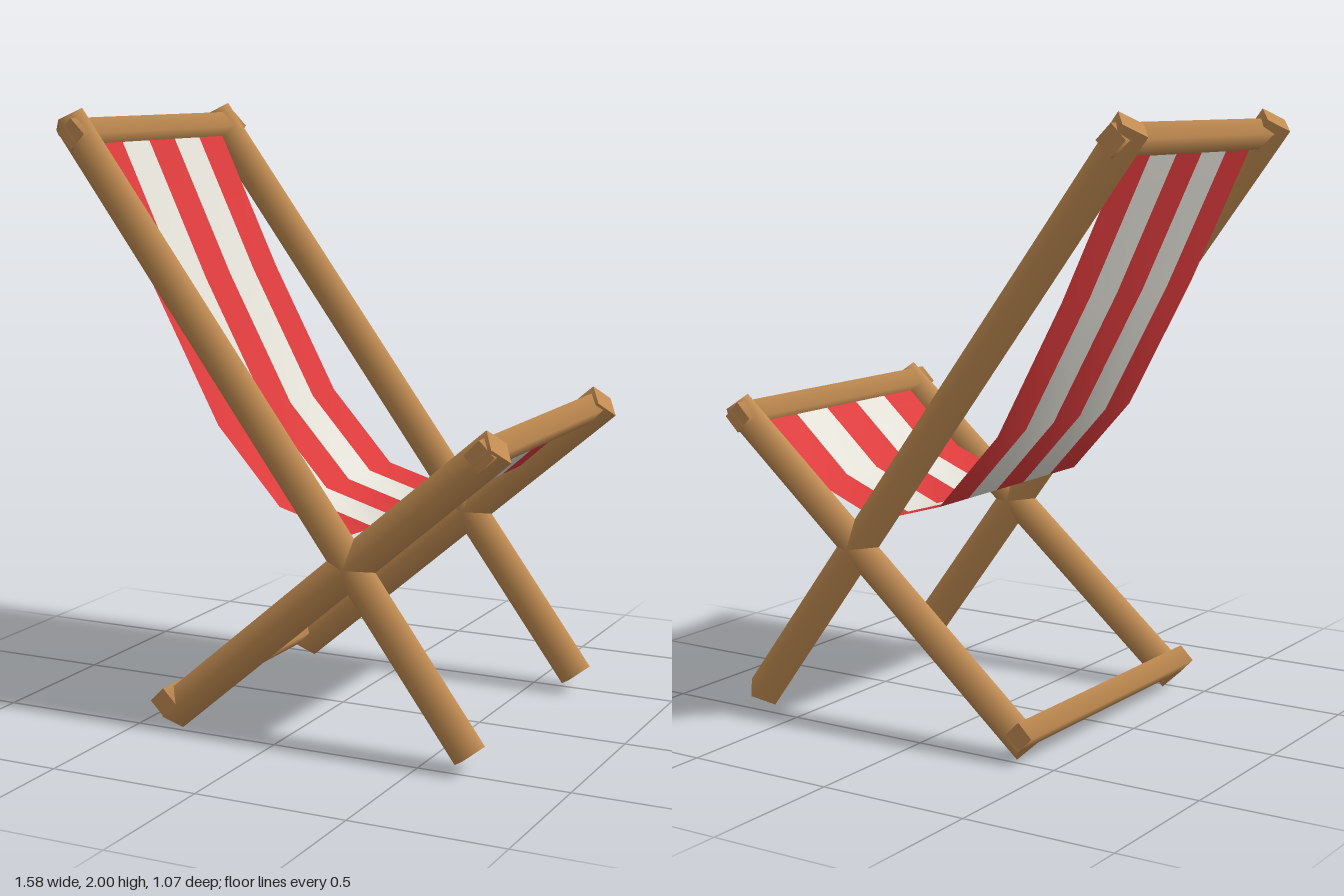
import * as THREE from 'three';

export function createModel() {
  const model = new THREE.Group();
  model.name = 'deckChair';

  const mat = (name, color, side = THREE.FrontSide) => {
    const m = new THREE.MeshStandardMaterial({ color, side });
    m.name = name;
    return m;
  };
  const wood = mat('wood', 0xc08b51);
  const red = mat('redCanvas', 0xdb3a3b, THREE.DoubleSide);
  const white = mat('whiteCanvas', 0xe2dfd6, THREE.DoubleSide);

  // Four-sided softly shaded beam between two points
  const up = new THREE.Vector3(0, 1, 0);
  function beam(name, a, b, radius) {
    const from = new THREE.Vector3(...a);
    const to = new THREE.Vector3(...b);
    const dir = to.clone().sub(from);
    const mesh = new THREE.Mesh(new THREE.CylinderGeometry(radius, radius, dir.length(), 4), wood);
    mesh.quaternion.setFromUnitVectors(up, dir.normalize());
    mesh.position.copy(from).add(to).multiplyScalar(0.5);
    mesh.name = name;
    model.add(mesh);
  }

  // Crossed side poles
  for (const [side, z] of [['left', 0.474], ['right', -0.474]]) {
    beam(side + 'BackPole', [0.663, 0.055, z], [-0.742, 1.963, z], 0.062);
    beam(side + 'SeatPole', [-0.39, 0.047, z], [0.746, 1.02, z], 0.062);
  }

  // Crossbars joining the two sides
  const bars = [
    ['topBar', -0.70, 1.918, 0.05],
    ['seatBar', 0.705, 0.995, 0.05],
    ['footBar', -0.39, 0.094, 0.047],
  ];
  for (const [name, x, y, r] of bars) beam(name, [x, y, -0.53], [x, y, 0.53], r);

  // Sagging canvas in five stripes, following one profile from top bar to seat bar
  const profile = [
    [-0.70, 1.92], [-0.47, 1.43], [-0.24, 1.0], [-0.02, 0.755],
    [0.22, 0.685], [0.47, 0.785], [0.705, 0.995],
  ];
  const edges = [-0.415, -0.25, -0.083, 0.083, 0.25, 0.415];
  const canvas = new THREE.Group();
  canvas.name = 'canvas';
  for (let s = 0; s < 5; s++) {
    const geo = new THREE.PlaneGeometry(1, 1, 1, profile.length - 1);
    const pos = geo.attributes.position;
    for (let i = 0; i < pos.count; i++) {
      const [x, y] = profile[Math.floor(i / 2)];
      pos.setXYZ(i, x, y, edges[s + 1 - (i % 2)]);
    }
    // Corner order runs from +z to -z so the front faces the sitter
    geo.computeVertexNormals();
    const stripe = new THREE.Mesh(geo, s % 2 ? white : red);
    stripe.name = 'canvasStripe' + (s + 1);
    canvas.add(stripe);
  }
  model.add(canvas);

  return model;
}
